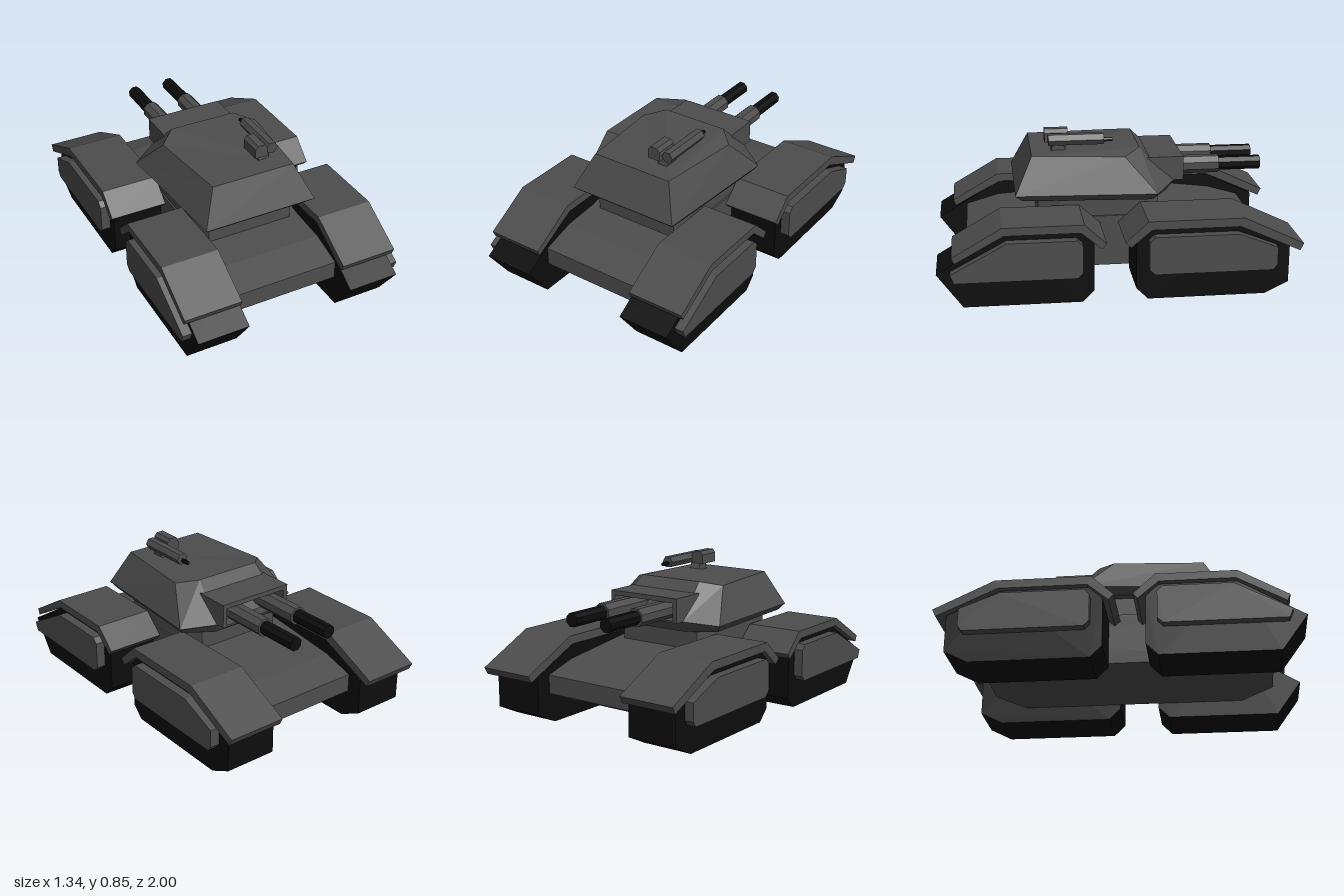
import * as THREE from 'three';

const grey = new THREE.MeshStandardMaterial({ color: 0x4d4d4d, flatShading: true });
const black = new THREE.MeshStandardMaterial({ color: 0x0d0d0d, flatShading: true });

// Side outline of [z, y] points, extruded across x from x0 to x1
function sidePrism(points, x0, x1) {
  const shape = new THREE.Shape(points.map(([z, y]) => new THREE.Vector2(z, y)));
  const geo = new THREE.ExtrudeGeometry(shape, { depth: x1 - x0, bevelEnabled: false });
  return geo.rotateY(-Math.PI / 2).translate(x1, 0, 0);
}

function box(x0, x1, y0, y1, z0, z1) {
  return new THREE.BoxGeometry(x1 - x0, y1 - y0, z1 - z0)
    .translate((x0 + x1) / 2, (y0 + y1) / 2, (z0 + z1) / 2);
}

// Faceted rod along z with flat top and bottom
function rod(radius, sides, x, y, z0, z1) {
  return new THREE.CylinderGeometry(radius, radius, z1 - z0, sides)
    .rotateY(Math.PI / sides).rotateX(Math.PI / 2).translate(x, y, (z0 + z1) / 2);
}

// Closed skin over rings of equal point count, bottom ring first
function loft(rings) {
  const n = rings[0].length;
  const index = [];
  for (let r = 0; r < rings.length - 1; r++) {
    for (let i = 0; i < n; i++) {
      const a = r * n + i, b = r * n + (i + 1) % n;
      index.push(a, b, b + n, a, b + n, a + n);
    }
  }
  const top = (rings.length - 1) * n;
  for (let i = 1; i < n - 1; i++) {
    index.push(0, i + 1, i);
    index.push(top, top + i, top + i + 1);
  }
  const geo = new THREE.BufferGeometry();
  geo.setAttribute('position', new THREE.Float32BufferAttribute(rings.flat(2), 3));
  geo.setIndex(index);
  geo.computeVertexNormals();
  return geo;
}

// Mirrors half a ring (front to back on +x) into a full loop, counter-clockwise from above
const mirrorRing = (half) => [...half, ...half.map(([x, y, z]) => [-x, y, z]).reverse()];

export function createModel() {
  const model = new THREE.Group();
  const add = (name, geo, mat = grey, parent = model) => {
    const mesh = new THREE.Mesh(geo, mat);
    mesh.name = name;
    parent.add(mesh);
    return mesh;
  };

  // Hull
  add('hull', sidePrism([
    [0.65, 0.09], [0.835, 0.17], [0.835, 0.275], [0.645, 0.33], [0.43, 0.345], [0.2, 0.385],
    [-0.2, 0.385], [-0.655, 0.33], [-0.84, 0.275], [-0.84, 0.17], [-0.65, 0.09],
  ], -0.315, 0.315));

  // Track units: tread block, outer side panel and bent fender
  const units = {
    front: {
      track: [[1, 0.195], [0.86, 0], [0.215, 0], [0.15, 0.065], [0.15, 0.34], [0.215, 0.41], [0.64, 0.41]],
      panel: [[0.925, 0.21], [0.905, 0.16], [0.245, 0.16], [0.215, 0.19], [0.215, 0.345], [0.245, 0.375], [0.62, 0.375]],
      fender: [[0.915, 0.3], [0.9, 0.265], [0.635, 0.412], [0.225, 0.412], [0.11, 0.315], [0.085, 0.345], [0.205, 0.457], [0.645, 0.457]],
    },
    rear: {
      track: [[-0.08, 0.065], [-0.145, 0], [-0.8, 0], [-0.93, 0.065], [-0.93, 0.275], [-0.645, 0.41], [-0.145, 0.41], [-0.08, 0.34]],
      panel: [[-0.145, 0.19], [-0.175, 0.16], [-0.83, 0.16], [-0.852, 0.19], [-0.852, 0.29], [-0.635, 0.375], [-0.175, 0.375], [-0.145, 0.345]],
      fender: [[-0.015, 0.345], [-0.045, 0.315], [-0.16, 0.412], [-0.645, 0.412], [-0.98, 0.26], [-1, 0.3], [-0.665, 0.46], [-0.14, 0.46]],
    },
  };
  for (const [end, unit] of Object.entries(units)) {
    for (const side of [1, -1]) {
      const group = new THREE.Group();
      group.name = `${end}${side > 0 ? 'Left' : 'Right'}TrackUnit`;
      const span = (a, b) => (side > 0 ? [a, b] : [-b, -a]);
      add('track', sidePrism(unit.track, ...span(0.315, 0.615)), black, group);
      add('sidePanel', sidePrism(unit.panel, ...span(0.6, 0.668)), grey, group);
      add('fender', sidePrism(unit.fender, ...span(0.315, 0.65)), grey, group);
      model.add(group);
    }
  }

  // Turret ring: chamfered block under the turret
  const turret = new THREE.Group();
  turret.name = 'turret';
  model.add(turret);
  const ringAt = (y) => mirrorRing([[0.26, y, 0.43], [0.305, y, 0.31], [0.305, y, -0.15], [0.26, y, -0.25]]);
  add('turretRing', loft([ringAt(0.3), ringAt(0.5)]), grey, turret);

  // Turret body: underside, widest line, roof edge
  add('turretBody', loft([
    mirrorRing([[0.315, 0.49, 0.52], [0.365, 0.49, -0.2], [0.21, 0.49, -0.305]]),
    mirrorRing([[0.34, 0.525, 0.558], [0.397, 0.53, -0.23], [0.23, 0.555, -0.345]]),
    mirrorRing([[0.25, 0.728, 0.46], [0.3, 0.722, -0.055], [0.2, 0.748, -0.15]]),
  ]), grey, turret);

  // Gun housing: open-ended frame around the guns
  add('housingRoof', box(-0.23, 0.23, 0.665, 0.692, -0.4, -0.19), grey, turret);
  add('housingFloor', box(-0.23, 0.23, 0.555, 0.565, -0.4, -0.25), grey, turret);
  for (const side of [1, -1]) {
    const x = side * 0.2165;
    add('housingCheek', box(x - 0.0135, x + 0.0135, 0.555, 0.692, -0.4, -0.19), grey, turret);
    // Twin guns
    add('gunSleeve', rod(0.053, 8, side * 0.116, 0.612, -0.62, -0.25), grey, turret);
    add('gunBarrel', rod(0.04, 8, side * 0.117, 0.612, -0.865, -0.6), black, turret);
  }

  // Roof machine gun
  const roofGun = new THREE.Group();
  roofGun.name = 'roofGun';
  turret.add(roofGun);
  add('mount', sidePrism([[0.345, 0.72], [0.255, 0.72], [0.285, 0.78], [0.335, 0.78]], 0.095, 0.16), grey, roofGun);
  add('receiver', rod(0.035, 6, 0.17, 0.798, 0.05, 0.362), grey, roofGun);
  add('muzzle', rod(0.012, 6, 0.168, 0.79, 0, 0.06), black, roofGun);
  const boxShape = new THREE.Shape([
    [0.055, 0.77], [0.132, 0.77], [0.132, 0.825], [0.115, 0.845], [0.072, 0.845], [0.055, 0.825],
  ].map(([x, y]) => new THREE.Vector2(x, y)));
  add('ammoBox', new THREE.ExtrudeGeometry(boxShape, { depth: 0.133, bevelEnabled: false }).translate(0, 0, 0.247), grey, roofGun);

  return model;
}
